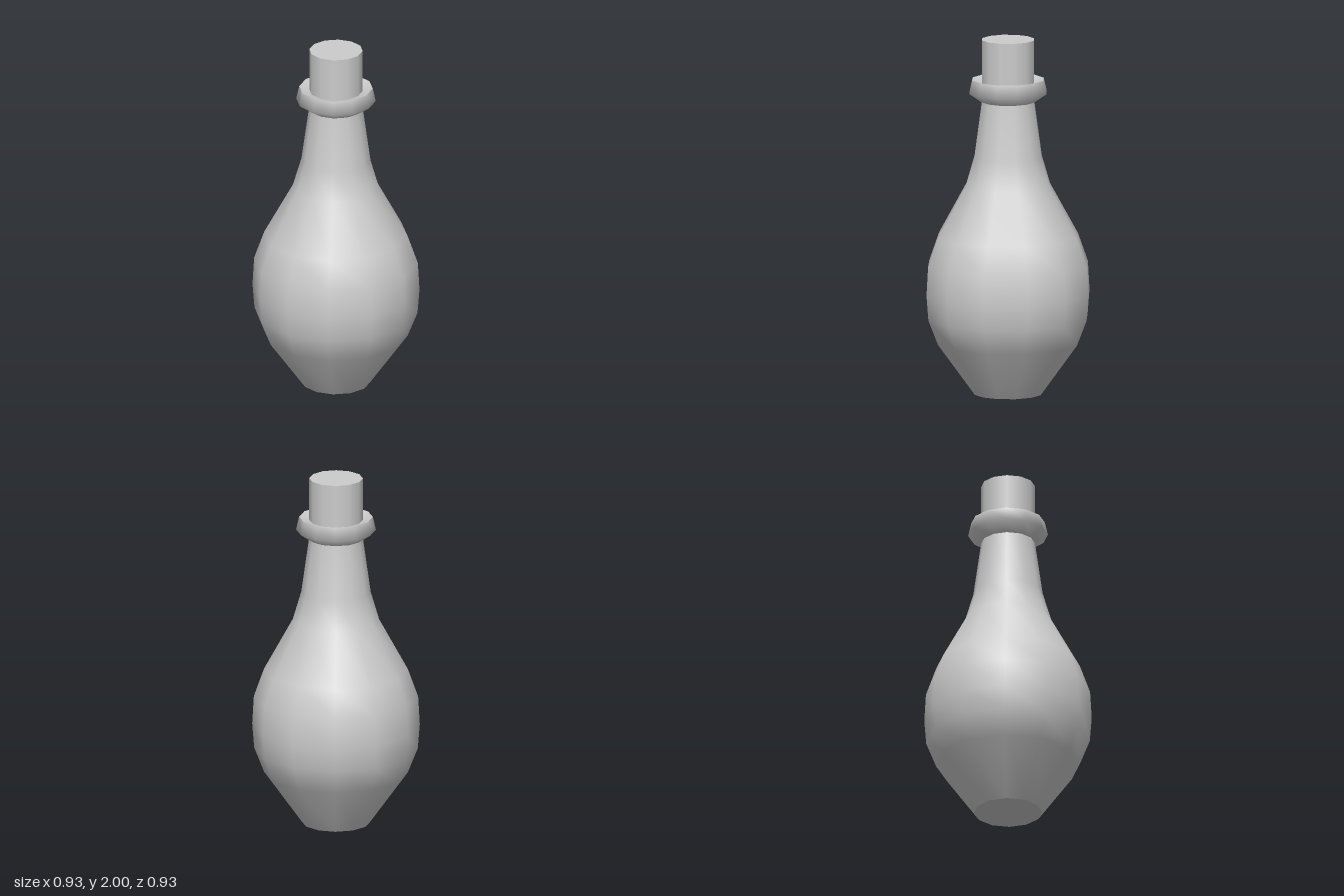
import * as THREE from 'three';

const SIDES = 12;

// Lathe from [radius, height] pairs; a repeated pair gives a sharp edge
function turned(name, profile, material) {
  const points = profile.map(([r, y]) => new THREE.Vector2(r, y));
  const mesh = new THREE.Mesh(new THREE.LatheGeometry(points, SIDES), material);
  mesh.name = name;
  return mesh;
}

export function createModel() {
  const group = new THREE.Group();
  group.name = 'bottle';
  const material = new THREE.MeshStandardMaterial({ color: 0xcccccc });

  // Base, belly, shoulder and neck
  group.add(turned('body', [
    [0, 0], [0.19, 0], [0.19, 0],
    [0.4, 0.29], [0.455, 0.43], [0.466, 0.57], [0.457, 0.73], [0.4, 0.89],
    [0.24, 1.18], [0.193, 1.34], [0.15, 1.65],
  ], material));

  // Flared lip, dipping slightly towards the stopper
  group.add(turned('lip', [
    [0.15, 1.65], [0.222, 1.7], [0.205, 1.775], [0.205, 1.775], [0.14, 1.755],
  ], material));

  // Stopper, seated in the neck
  const stopper = new THREE.Mesh(new THREE.CylinderGeometry(0.149, 0.149, 0.26, SIDES), material);
  stopper.name = 'stopper';
  stopper.position.y = 1.87;
  group.add(stopper);

  return group;
}
